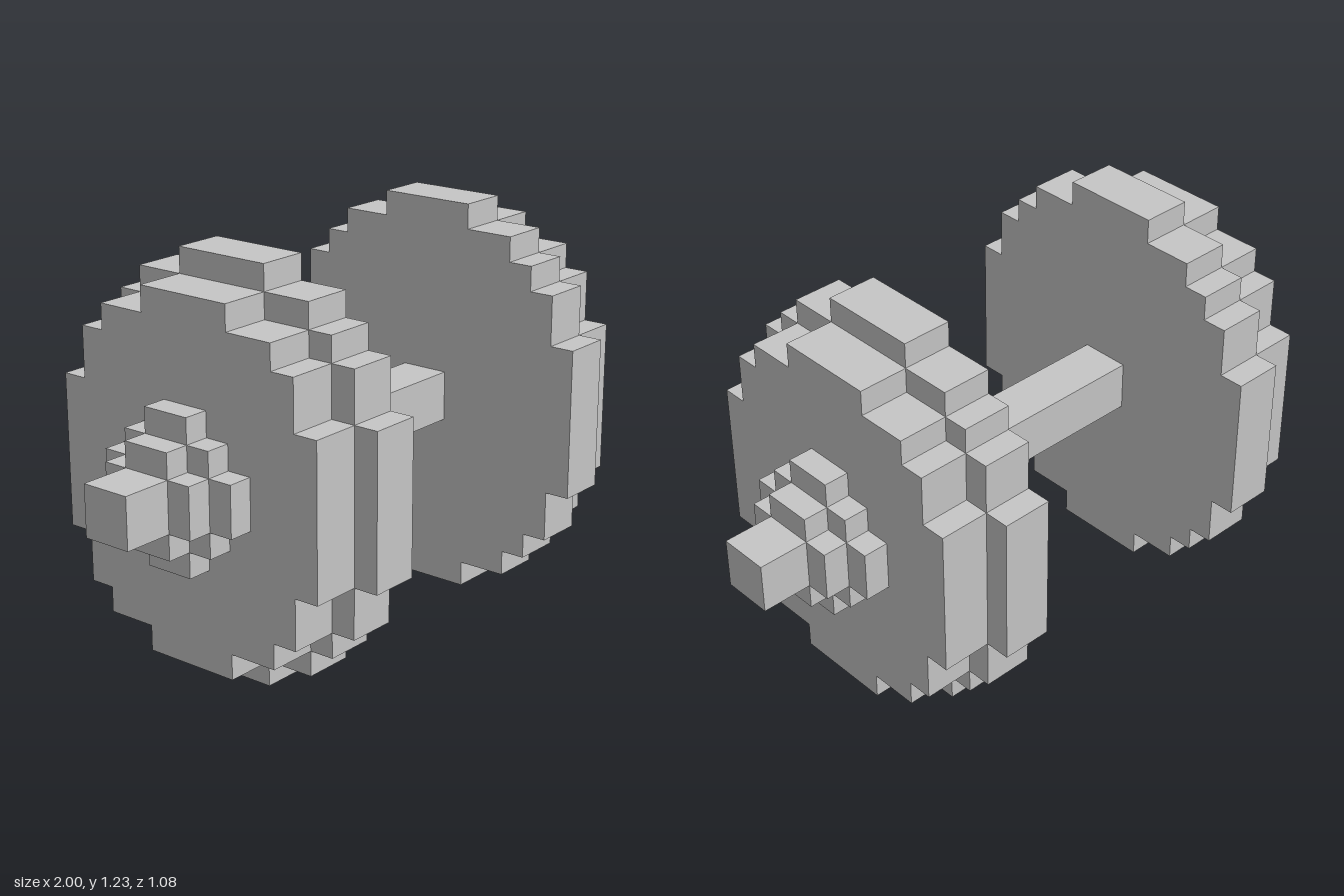
import * as THREE from 'three';

const U = 2 / 26; // one block
const CENTER_Y = 8 * U;

// Stepped disc outline from [halfWidth, halfHeight] steps, widest first
function steppedShape(steps) {
  const quarter = [];
  let y = 0;
  for (const [w, h] of steps) {
    if (y > 0) quarter.push([w, y]);
    quarter.push([w, h]);
    y = h;
  }
  const mirrored = (sx, sy) => quarter.map(([x, v]) => new THREE.Vector2(x * sx * U, v * sy * U));
  return new THREE.Shape([
    ...mirrored(1, 1),
    ...mirrored(-1, 1).reverse(),
    ...mirrored(-1, -1),
    ...mirrored(1, -1).reverse(),
  ]);
}

// Layers of one weight, from the grip outwards (x range in blocks)
const LAYERS = [
  { name: 'InnerPlate', from: 5, to: 7, steps: [[7, 3], [6, 5], [5, 6], [4, 7], [2, 8]] },
  { name: 'OuterPlate', from: 7, to: 9, steps: [[6, 3], [5, 5], [4, 6], [2, 7]] },
  { name: 'CollarBase', from: 9, to: 10, steps: [[3, 1], [2, 2], [1, 3]] },
  { name: 'CollarTip', from: 10, to: 11, steps: [[2, 1], [1, 2]] },
];

export function createModel() {
  const metal = new THREE.MeshStandardMaterial({ color: 0xc6c6c6 });
  metal.name = 'light grey metal';
  const dumbbell = new THREE.Group();
  dumbbell.name = 'dumbbell';

  // Square bar running through both weights
  const bar = new THREE.Mesh(new THREE.BoxGeometry(26 * U, 2 * U, 2 * U), metal);
  bar.name = 'bar';
  bar.position.y = CENTER_Y;
  dumbbell.add(bar);

  // Weights and collars on both ends
  for (const [side, sign] of [['left', 1], ['right', -1]]) {
    const weight = new THREE.Group();
    weight.name = side + 'Weight';
    for (const { name, from, to, steps } of LAYERS) {
      const geometry = new THREE.ExtrudeGeometry(steppedShape(steps), {
        depth: (to - from) * U,
        bevelEnabled: false,
      });
      geometry.rotateY(Math.PI / 2);
      const layer = new THREE.Mesh(geometry, metal);
      layer.name = side + name;
      layer.position.set((sign > 0 ? from : -to) * U, CENTER_Y, 0);
      weight.add(layer);
    }
    dumbbell.add(weight);
  }
  return dumbbell;
}
